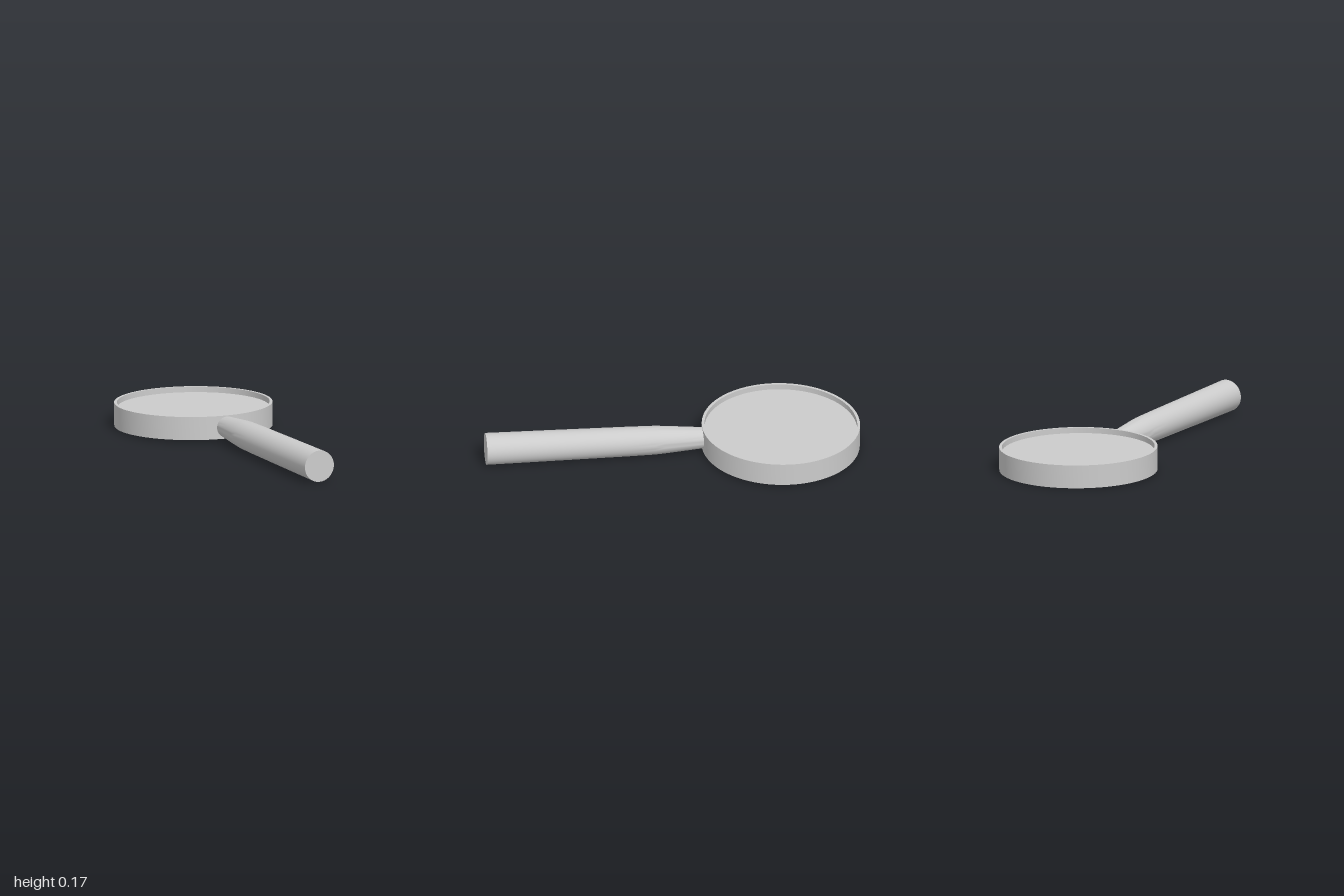
import * as THREE from 'three';
import { toCreasedNormals } from 'three/addons/utils/BufferGeometryUtils.js';

const material = new THREE.MeshStandardMaterial({ color: 0xcccccc });

// Revolve [radius, height] pairs about y, keeping hard corners sharp.
function lathe(name, profile, segments) {
  const points = profile.map(([r, y]) => new THREE.Vector2(r, y));
  const geometry = toCreasedNormals(new THREE.LatheGeometry(points, segments), 0.6);
  const mesh = new THREE.Mesh(geometry, material);
  mesh.name = name;
  return mesh;
}

export function createModel() {
  const model = new THREE.Group();
  model.name = 'magnifyingGlass';

  // Head: thin-walled rim around a recessed lens, tipped slightly backwards
  const head = new THREE.Group();
  head.name = 'head';
  const outer = 0.421, inner = 0.406, half = 0.0625, lensHalf = 0.033;
  head.add(lathe('rim', [
    [inner, -half], [outer, -half], [outer, half], [inner, half], [inner, -half],
  ], 96));
  head.add(lathe('lens', [
    [0, -lensHalf], [inner, -lensHalf], [inner, lensHalf], [0, lensHalf],
  ], 96));
  head.position.set(0, 0.071, -0.579);
  head.rotation.x = -0.0155;
  model.add(head);

  // Handle: tapered grip with a narrower neck that meets the rim
  const handle = lathe('handle', [
    [0, -0.009], [0.056, -0.009], [0.059, 0.03], [0.0665, 0.12], [0.074, 0.21],
    [0.0768, 0.26], [0.079, 0.4], [0.082, 0.76], [0.085, 1.159], [0, 1.159],
  ], 48);
  handle.position.set(0, 0.0775, -0.16);
  handle.rotation.x = Math.PI / 2 - 0.0094;
  model.add(handle);

  return model;
}
